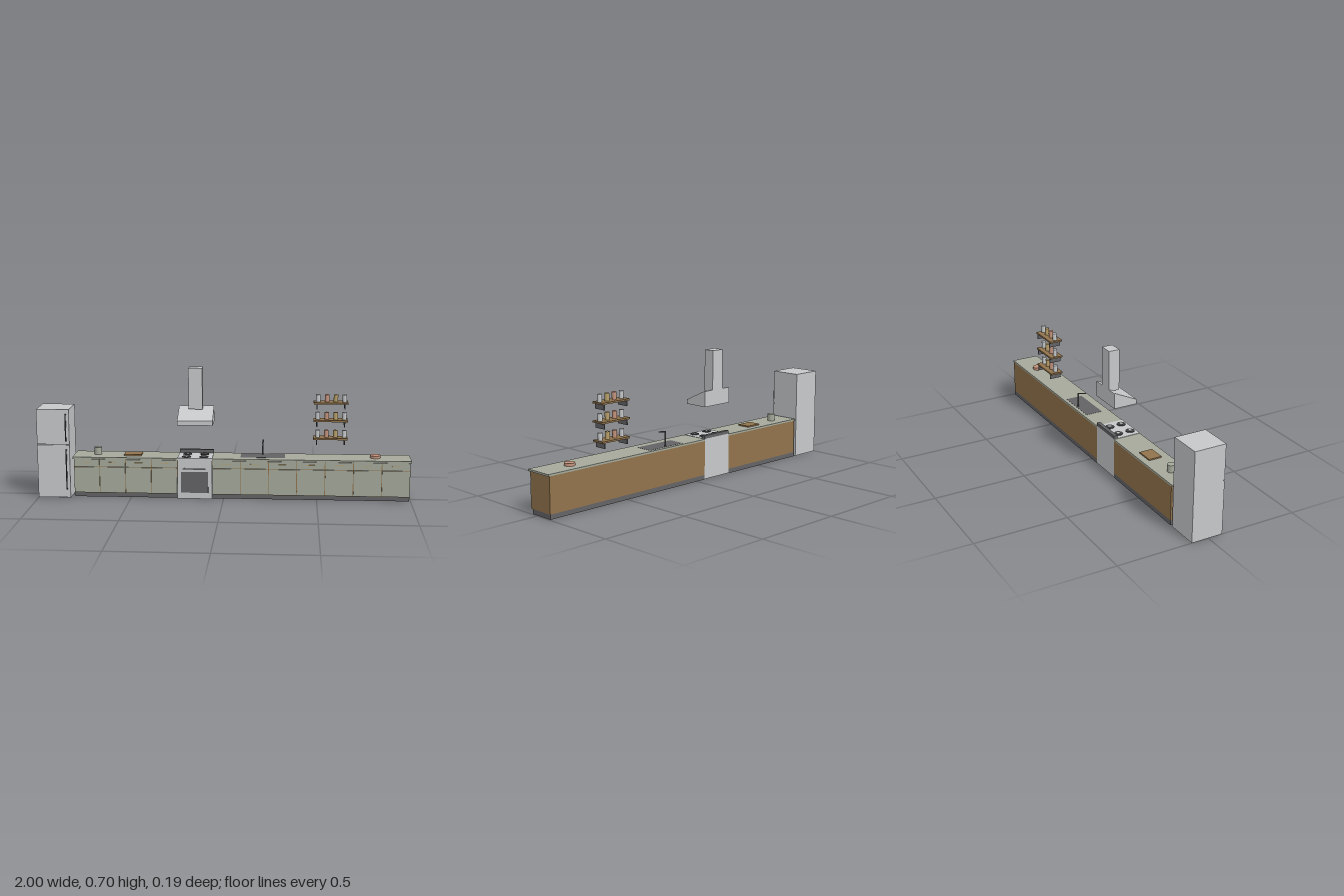
import * as THREE from 'three';

const mat = (name, color) => {
  const m = new THREE.MeshStandardMaterial({ color });
  m.name = name;
  return m;
};

export function createModel() {
  const steel = mat('steel', 0xc6c8ca);
  const sage = mat('sage', 0xa5a99b);
  const wood = mat('wood', 0x91734c);
  const dark = mat('dark grey', 0x636366);
  const clay = mat('terracotta', 0xc4937c);
  const brass = mat('brass', 0xb8a06a);
  const black = mat('handle black', 0x404042);

  const root = new THREE.Group();
  root.name = 'kitchen';
  const BACK = -0.093;

  const group = (name) => {
    const g = new THREE.Group();
    g.name = name;
    root.add(g);
    return g;
  };
  const add = (parent, name, geo, m) => {
    const mesh = new THREE.Mesh(geo, m);
    mesh.name = name;
    parent.add(mesh);
    return mesh;
  };
  // Box given by its extents
  const box = (parent, name, m, x0, x1, y0, y1, z0, z1) => {
    const mesh = add(parent, name, new THREE.BoxGeometry(x1 - x0, y1 - y0, z1 - z0), m);
    mesh.position.set((x0 + x1) / 2, (y0 + y1) / 2, (z0 + z1) / 2);
    return mesh;
  };
  // Upright cylinder standing on y
  const cyl = (parent, name, m, r, x, y, z, h, rb = r) => {
    const mesh = add(parent, name, new THREE.CylinderGeometry(r, rb, h, 24), m);
    mesh.position.set(x, y + h / 2, z);
    return mesh;
  };

  // Fridge: cabinet, two doors, upright handles on standoffs
  const fridge = group('fridge');
  box(fridge, 'fridgeBody', steel, -1, -0.825, 0, 0.485, BACK, 0.072);
  for (const [name, y0, y1, h0, h1] of [
    ['lowerDoor', 0.003, 0.291, 0.05, 0.268],
    ['upperDoor', 0.295, 0.485, 0.315, 0.461],
  ]) {
    box(fridge, name, steel, -1, -0.825, y0, y1, 0.072, 0.08);
    box(fridge, name + 'Handle', black, -0.845, -0.839, h0, h1, 0.088, 0.093);
    for (const y of [h0, h1 - 0.005])
      box(fridge, name + 'Standoff', black, -0.845, -0.839, y, y + 0.005, 0.08, 0.088);
  }

  // Base cabinets: carcass, plinth, worktop, and a drawer over a door per unit
  const cabinetRun = (name, x0, x1, units, top0, top1) => {
    const g = group(name);
    box(g, 'plinth', dark, x0, x1, 0, 0.025, BACK, 0.042);
    box(g, 'carcass', wood, x0, x1, 0.025, 0.213, BACK, 0.052);
    box(g, 'worktop', sage, top0, top1, 0.213, 0.223, BACK, 0.063);
    const w = (x1 - x0) / units;
    for (let i = 0; i < units; i++) {
      const a = x0 + i * w + 0.002;
      const b = a + w - 0.004;
      const c = (a + b) / 2;
      box(g, 'door', sage, a, b, 0.029, 0.168, 0.052, 0.059);
      box(g, 'drawerFront', sage, a, b, 0.172, 0.211, 0.052, 0.059);
      box(g, 'drawerHandle', brass, c - 0.022, c + 0.022, 0.193, 0.196, 0.059, 0.063);
    }
  };
  cabinetRun('leftCabinets', -0.808, -0.247, 4, -0.814, -0.247);
  cabinetRun('rightCabinets', -0.06, 0.994, 7, -0.06, 1);

  // Cooker
  const cooker = group('cooker');
  box(cooker, 'cookerBody', steel, -0.247, -0.06, 0.002, 0.225, BACK, 0.063);
  box(cooker, 'ovenWindow', dark, -0.228, -0.081, 0.035, 0.15, 0.063, 0.065);
  box(cooker, 'ovenHandle', steel, -0.217, -0.094, 0.165, 0.17, 0.069, 0.075);
  for (const x of [-0.212, -0.104])
    box(cooker, 'handleStandoff', steel, x, x + 0.005, 0.165, 0.17, 0.063, 0.069);
  box(cooker, 'backsplash', dark, -0.247, -0.06, 0.225, 0.243, BACK, -0.073);
  for (const x of [-0.2, -0.107])
    for (const z of [-0.04, 0.03]) {
      cyl(cooker, 'burner', black, 0.024, x, 0.225, z, 0.003);
      cyl(cooker, 'burnerCap', steel, 0.009, x, 0.228, z, 0.002);
    }

  // Extractor hood: extruded side profile with the flue above
  const hood = group('hood');
  const side = new THREE.Shape([
    [BACK, 0.399], [0.04, 0.399], [0.04, 0.424], [-0.087, 0.484], [BACK, 0.484],
  ].map(([z, y]) => new THREE.Vector2(-z, y)));
  const canopy = add(hood, 'canopy',
    new THREE.ExtrudeGeometry(side, { depth: 0.19, bevelEnabled: false }), steel);
  canopy.rotation.y = Math.PI / 2;
  canopy.position.x = -0.249;
  box(hood, 'flue', steel, -0.194, -0.119, 0.474, 0.697, BACK, -0.033);

  // Sink and tap
  const sink = group('sink');
  box(sink, 'basin', dark, 0.089, 0.328, 0.219, 0.2237, -0.075, 0.02);
  cyl(sink, 'tapPost', dark, 0.004, 0.208, 0.223, -0.064, 0.082);
  const spout = new THREE.LineCurve3(
    new THREE.Vector3(0.208, 0.303, -0.066), new THREE.Vector3(0.208, 0.293, -0.017));
  add(sink, 'tapSpout', new THREE.TubeGeometry(spout, 1, 0.0035, 10), dark);

  // Wall shelves with brackets and jars
  const jarMats = [steel, clay, brass, steel];
  for (const top of [0.325, 0.423, 0.519]) {
    const g = group('shelf');
    box(g, 'board', wood, 0.479, 0.662, top - 0.009, top, BACK, -0.021);
    for (const x of [0.494, 0.643])
      box(g, 'bracket', dark, x, x + 0.005, top - 0.037, top - 0.009, BACK, -0.026);
    jarMats.forEach((m, i) => cyl(g, 'jar', m, 0.012, 0.502 + i * 0.0475, top, -0.056, 0.039));
  }

  // Worktop items
  const items = group('worktopItems');
  cyl(items, 'canister', sage, 0.02, -0.687, 0.223, -0.02, 0.039);
  box(items, 'choppingBoard', wood, -0.541, -0.447, 0.223, 0.23, -0.057, 0.016);
  cyl(items, 'bowl', clay, 0.028, 0.812, 0.223, -0.02, 0.014);

  return root;
}
